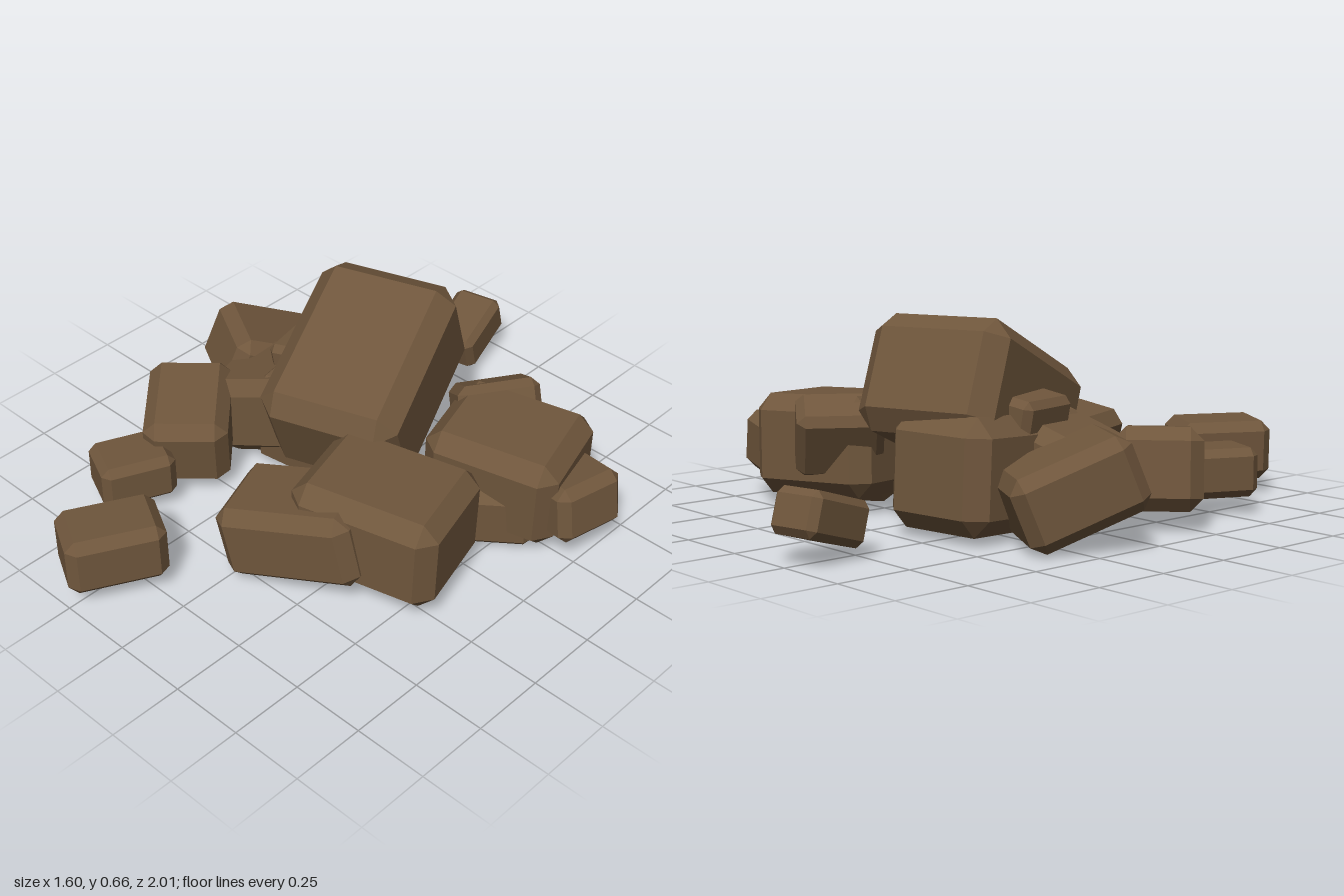
import * as THREE from 'three';
import { ConvexGeometry } from 'three/addons/geometries/ConvexGeometry.js';

// Box with every edge and corner bevelled flat
function chamferedBlock(w, h, d) {
  const c = Math.min(w, h, d) * 0.16;
  const x = w / 2, y = h / 2, z = d / 2;
  const points = [];
  for (const i of [-1, 1]) for (const j of [-1, 1]) for (const k of [-1, 1]) {
    points.push(
      new THREE.Vector3(i * x, j * (y - c), k * (z - c)),
      new THREE.Vector3(i * (x - c), j * y, k * (z - c)),
      new THREE.Vector3(i * (x - c), j * (y - c), k * z)
    );
  }
  return new ConvexGeometry(points);
}

// name, size, centre, [yaw, pitch, roll] in degrees
const BLOCKS = [
  ['topSlab', [0.48, 0.38, 0.63], [-0.075, 0.39, -0.15], [19, 23, 0]],
  ['coreBlock', [0.39, 0.36, 0.58], [-0.225, 0.195, -0.2], [8, 3, 0]],
  ['leftLeaningBlock', [0.36, 0.28, 0.34], [-0.385, 0.195, -0.04], [14, 0, 20]],
  ['leftWedgedChunk', [0.14, 0.24, 0.24], [-0.33, 0.31, -0.14], [12, 0, 10]],
  ['outerLeftBlock', [0.32, 0.24, 0.39], [-0.58, 0.18, -0.205], [-29, -22, 0]],
  ['frontLeftBlock', [0.28, 0.26, 0.37], [-0.51, 0.18, 0.245], [43, 8, 0]],
  ['smallFrontLeftBlock', [0.20, 0.16, 0.25], [-0.495, 0.14, 0.515], [-24, 0, 0]],
  ['looseFrontBlock', [0.23, 0.2, 0.32], [-0.247, 0.155, 0.815], [-28, 0, 2]],
  ['frontBlock', [0.46, 0.26, 0.32], [0.15, 0.195, 0.37], [21, 0, 12]],
  ['frontRightBlock', [0.5, 0.33, 0.4], [0.34, 0.23, 0.2], [16, 0, -2]],
  ['backRightBlock', [0.46, 0.33, 0.39], [0.425, 0.21, -0.295], [16, 2, -2]],
  ['outerRightBlock', [0.25, 0.2, 0.25], [0.65, 0.18, -0.335], [-12, 0, 8]],
  ['underRightBlock', [0.28, 0.22, 0.24], [0.45, 0.12, -0.2], [38, 0, 0]],
  ['backWedgedChunk', [0.17, 0.24, 0.28], [0.285, 0.26, -0.405], [-33, 0, 30]],
  ['looseBackBlock', [0.175, 0.14, 0.25], [-0.24, 0.13, -0.865], [12, 17, 0]],
];

export function createModel() {
  const group = new THREE.Group();
  group.name = 'rubblePile';
  const earth = new THREE.MeshStandardMaterial({ color: 0x6f563c });
  earth.name = 'earth brown';

  for (const [name, size, centre, angles] of BLOCKS) {
    const block = new THREE.Mesh(chamferedBlock(...size), earth);
    const [yaw, pitch, roll] = angles.map(THREE.MathUtils.degToRad);
    block.name = name;
    block.position.set(...centre);
    block.rotation.set(pitch, yaw, roll, 'YXZ');
    group.add(block);
  }
  return group;
}
